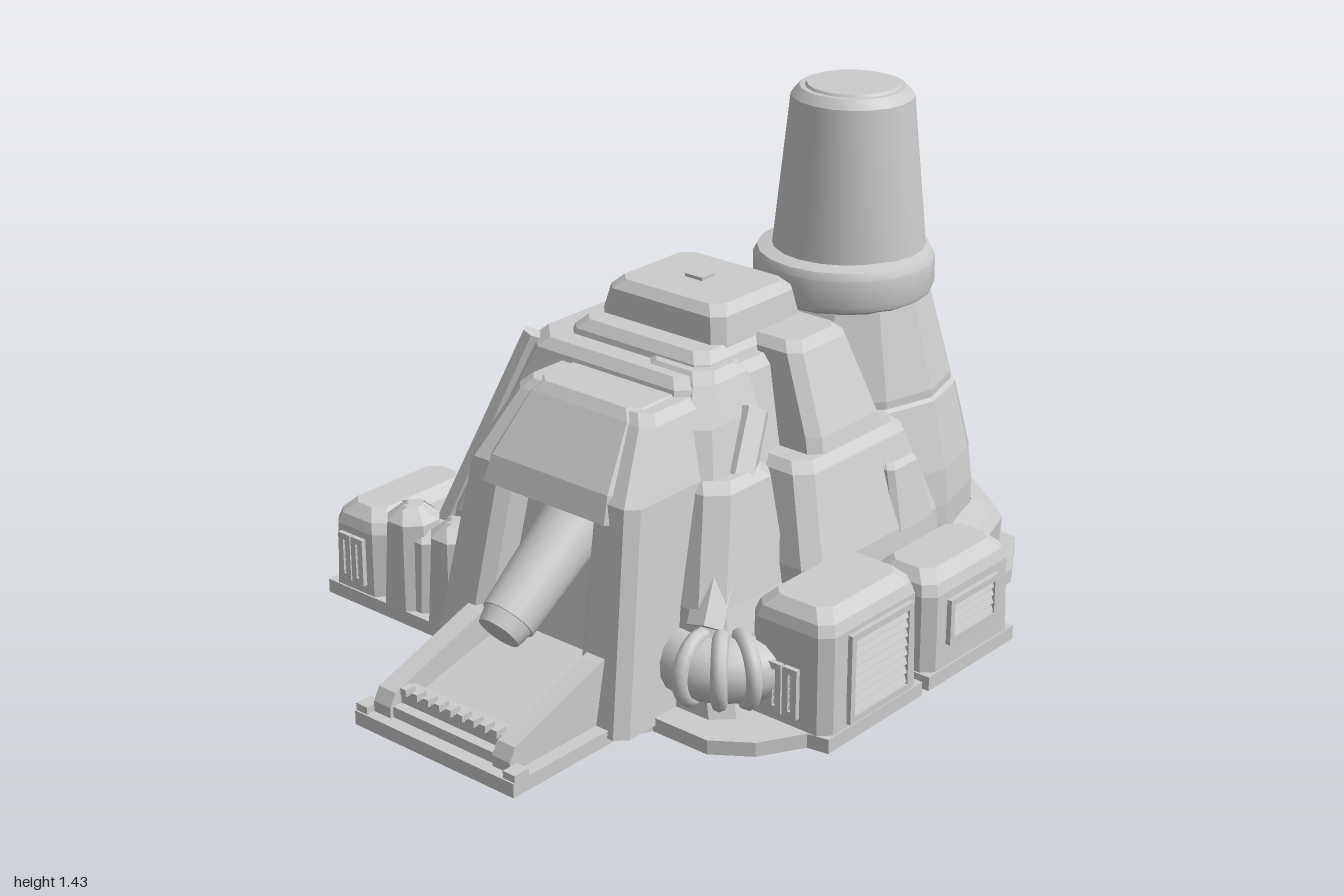
import * as THREE from 'three';
import { toCreasedNormals } from 'three/addons/utils/BufferGeometryUtils.js';

const grey = new THREE.MeshStandardMaterial({ color: 0xcccccc, flatShading: true, side: THREE.DoubleSide });
const smooth = new THREE.MeshStandardMaterial({ color: 0xcccccc, side: THREE.DoubleSide });
const V = (x, y, z) => new THREE.Vector3(x, y, z);

export function createModel() {
  const root = new THREE.Group();

  function add(name, geometry, x = 0, y = 0, z = 0, parent = root, material = grey) {
    const mesh = new THREE.Mesh(geometry, material);
    mesh.name = name;
    mesh.position.set(x, y, z);
    parent.add(mesh);
    return mesh;
  }

  // Chamfered block lofted through sections [x0, x1, z0, z1, y], with a bevelled top
  function block(name, sections, c = 0.03, bevel = 0.025) {
    const top = sections[sections.length - 1], [a, b, d, e, y] = top;
    const list = [...sections.slice(0, -1), [a, b, d, e, y - bevel],
      [a + bevel, b - bevel, d + bevel, e - bevel, y]];
    const pos = [], idx = [];
    for (const [x0, x1, z0, z1, h] of list) {
      for (const [x, z] of [[x1, z0 + c], [x1, z1 - c], [x1 - c, z1], [x0 + c, z1],
        [x0, z1 - c], [x0, z0 + c], [x0 + c, z0], [x1 - c, z0]]) pos.push(x, h, z);
    }
    const last = (list.length - 1) * 8;
    for (let r = 0; r < last; r += 8) {
      for (let i = 0; i < 8; i++) {
        const j = (i + 1) % 8;
        idx.push(r + i, r + 8 + i, r + j, r + j, r + 8 + i, r + 8 + j);
      }
    }
    for (let i = 1; i < 7; i++) idx.push(last, last + i + 1, last + i, 0, i, i + 1);
    const g = new THREE.BufferGeometry();
    g.setAttribute('position', new THREE.Float32BufferAttribute(pos, 3));
    g.setIndex(idx);
    g.computeVertexNormals();
    return add(name, g);
  }

  function extrude(name, pts, depth, x = 0, y = 0, z = 0) {
    const shape = new THREE.Shape(pts.map(p => new THREE.Vector2(...p)));
    return add(name, new THREE.ExtrudeGeometry(shape, { depth, bevelEnabled: false }), x, y, z);
  }

  // Framed panel with slats, facing +z before it is turned
  function grille(name, w, h, n, x, y, z, turn = 0, tilt = 0) {
    const g = new THREE.Group();
    g.name = name;
    g.position.set(x, y, z);
    g.rotation.set(tilt, turn, 0, 'YXZ');
    root.add(g);
    const f = 0.018, rect = (P, a, b) => {
      const p = new P();
      p.moveTo(-a, -b); p.lineTo(a, -b); p.lineTo(a, b); p.lineTo(-a, b); p.closePath();
      return p;
    };
    const frame = rect(THREE.Shape, w / 2, h / 2);
    frame.holes.push(rect(THREE.Path, w / 2 - f, h / 2 - f));
    add('grilleFrame', new THREE.ExtrudeGeometry(frame, { depth: 0.014, bevelEnabled: false }), 0, 0, 0, g);
    const step = (h - 2 * f) / n;
    for (let i = 0; i < n; i++) {
      const s = add('slat', new THREE.BoxGeometry(w - 2 * f, step * 0.75, 0.008), 0, -h / 2 + f + step * (i + 0.5), 0.004, g);
      s.rotation.x = -0.4;
    }
  }

  function rod(name, a, b, ra, rb, sides = 16) {
    const d = b.clone().sub(a), m = a.clone().add(b).multiplyScalar(0.5);
    const g = toCreasedNormals(new THREE.CylinderGeometry(rb, ra, d.length(), sides), 0.7);
    const mesh = add(name, g, m.x, m.y, m.z, root, smooth);
    mesh.quaternion.setFromUnitVectors(V(0, 1, 0), d.normalize());
  }

  function lathe(name, pts, sides, x, z, material = grey, crease = 0.5) {
    let g = new THREE.LatheGeometry(pts.map(p => new THREE.Vector2(...p)), sides);
    if (material === smooth) g = toCreasedNormals(g, crease);
    return add(name, g, x, 0, z, root, material);
  }

  // Bent pipe with ribs
  function ribbedPipe(name, pts, r, ribs) {
    const curve = new THREE.CatmullRomCurve3(pts);
    add(name, new THREE.TubeGeometry(curve, 16, r, 14), 0, 0, 0, root, smooth);
    for (const t of ribs) {
      const p = curve.getPointAt(t);
      const rib = add(name + 'Rib', new THREE.TorusGeometry(r, 0.022, 8, 18), p.x, p.y, p.z, root, smooth);
      rib.quaternion.setFromUnitVectors(V(0, 0, 1), curve.getTangentAt(t));
    }
  }

  // Foundation plate
  const plate = extrude('foundation', [[-1, -0.2], [-0.62, -0.18], [-0.53, -0.28], [-0.53, -0.81], [-0.11, -0.81],
    [-0.11, -0.69], [0.1, -0.69], [0.1, -0.81], [0.49, -0.81], [0.49, -0.48], [0.79, -0.41], [0.83, -0.3], [0.82, -0.19],
    [0.93, -0.15], [1, 0.02], [0.96, 0.5], [0.78, 0.61], [0.49, 0.64], [0.49, 0.81], [0.1, 0.81], [0.1, 0.76], [0.07, 0.76],
    [0.07, 0.81], [-0.33, 0.81], [-0.34, 0.75], [-0.46, 0.68], [-0.53, 0.58], [-0.53, 0.4], [-0.62, 0.36], [-1, 0.36]], 0.04, 0, 0.04);
  plate.rotation.x = Math.PI / 2;

  // Tower
  const tx = 0.555, tz = 0.165;
  lathe('towerFooting', [[0.42, 0.03], [0.43, 0.17], [0.41, 0.205], [0.34, 0.225]], 10, 0.56, 0.2);
  lathe('towerLowerShell', [[0.37, 0.2], [0.37, 0.3], [0.358, 0.4], [0.312, 0.59], [0.3, 0.598]], 12, tx, tz);
  lathe('towerMiddleShell', [[0.3, 0.598], [0.3, 0.62], [0.232, 0.87]], 12, tx, tz);
  lathe('towerCollar', [[0.22, 0.85], [0.245, 0.865], [0.25, 0.88], [0.25, 0.955], [0.24, 0.975], [0.2, 0.985]], 20, tx - 0.012, tz, smooth);
  lathe('towerChimney', [[0.212, 0.97], [0.168, 1.4], [0.145, 1.425], [0.13, 1.425], [0.125, 1.432], [0, 1.432]], 20, tx + 0.01, tz, smooth);
  for (let i = 0; i < 6; i++) {
    const a = (i + 0.5) * Math.PI / 3, s = Math.sin(a), c = Math.cos(a);
    rod('towerSeam', V(tx + 0.352 * s, 0.4, tz + 0.352 * c), V(tx + 0.306 * s, 0.59, tz + 0.306 * c), 0.008, 0.008, 6);
  }

  // Central body and roof
  block('mainBody', [[-0.43, 0.5, -0.53, 0.48, 0.02], [-0.39, 0.47, -0.5, 0.44, 0.32], [-0.25, 0.34, -0.32, 0.3, 0.83]], 0.07);
  block('roofBase', [[-0.18, 0.31, -0.24, 0.27, 0.78], [-0.16, 0.3, -0.22, 0.25, 0.87]], 0.03);
  block('roofBlock', [[-0.08, 0.3, -0.21, 0.24, 0.82], [-0.06, 0.275, -0.18, 0.22, 0.965]], 0.03);
  add('roofHatch', new THREE.BoxGeometry(0.05, 0.014, 0.06), 0.11, 0.967, 0.01);

  // Rear wall: corner ribs, panel and vent housing
  for (const [x0, x1] of [[-0.36, -0.21], [0.42, 0.29]]) {
    rod('rearRib', V(x0, 0.25, -0.5), V(x1, 0.82, -0.3), 0.035, 0.03, 6);
  }
  block('rearUpperPanel', [[-0.16, 0.22, -0.45, -0.3, 0.6], [-0.13, 0.19, -0.395, -0.27, 0.76]], 0.015, 0.015);
  block('rearVentHousing', [[-0.2, 0.26, -0.555, -0.4, 0.26], [-0.19, 0.25, -0.5, -0.38, 0.59]], 0.03);
  grille('rearVent', 0.34, 0.22, 6, 0.03, 0.42, -0.53, Math.PI, -0.16);
  block('rearLedge', [[-0.51, 0.48, -0.62, -0.42, 0.03], [-0.5, 0.46, -0.6, -0.42, 0.27]], 0.04);
  for (const [z0, z1] of [[-0.62, -0.46], [-0.45, -0.29]]) {
    block('rearSideBuffer', [[-0.53, -0.38, z0, z1, 0.03], [-0.52, -0.38, z0 + 0.01, z1 - 0.01, 0.33]], 0.04, 0.04);
  }
  block('rearSideShoulder', [[0.34, 0.5, -0.48, -0.2, 0.03], [0.3, 0.44, -0.4, -0.1, 0.6]], 0.03);

  // Cabinets standing against front and rear
  function cabinet(name, x0, x1, z0, z1, h) {
    block(name, [[x0, x1, z0, z1, 0.02], [x0 + 0.005, x1 - 0.005, z0 + 0.005, z1 - 0.005, h - 0.06], [x0 + 0.015, x1 - 0.015, z0 + 0.015, z1 - 0.015, h]], 0.03, 0.03);
    const zc = (z0 + z1) / 2;
    for (const [x, turn] of [[x0 - 0.002, -Math.PI / 2], [x1 + 0.002, Math.PI / 2]]) {
      for (const dz of [-0.025, 0.025]) grille(name + 'SideVent', 0.045, 0.14, 5, x, 0.14, zc + dz, turn);
    }
  }
  cabinet('frontLargeCabinet', -0.335, 0.07, 0.54, 0.805, 0.37);
  cabinet('frontSmallCabinet', 0.105, 0.49, 0.58, 0.805, 0.315);
  cabinet('rearCabinetRight', -0.525, -0.11, -0.805, -0.6, 0.285);
  cabinet('rearCabinetLeft', 0.1, 0.49, -0.805, -0.6, 0.285);
  grille('frontLargeVent', 0.26, 0.25, 8, -0.12, 0.175, 0.803);
  grille('frontSmallVent', 0.22, 0.13, 4, 0.29, 0.17, 0.803);
  for (const x of [-0.32, 0.295]) grille('rearCabinetVent', 0.24, 0.12, 4, x, 0.14, -0.803, Math.PI);

  // Stepped front buttress
  block('frontLowerBody', [[-0.14, 0.47, 0.2, 0.62, 0.03], [-0.12, 0.46, 0.2, 0.59, 0.35], [-0.06, 0.41, 0.2, 0.51, 0.6]], 0.04);
  block('frontUpperBox', [[0.02, 0.34, 0.15, 0.49, 0.57], [0.03, 0.33, 0.15, 0.47, 0.64], [0.06, 0.3, 0.15, 0.38, 0.87]], 0.03);
  block('frontPanel', [[0.24, 0.41, 0.45, 0.595, 0.34], [0.25, 0.38, 0.45, 0.56, 0.52]], 0.015, 0.015);

  // Slanting front shoulder beside the buttress
  block('frontShoulderLow', [[-0.45, -0.05, 0.15, 0.57, 0.03], [-0.4, -0.05, 0.15, 0.49, 0.3], [-0.31, -0.05, 0.15, 0.43, 0.6]], 0.05);
  block('frontShoulderHigh', [[-0.33, 0.0, 0.05, 0.4, 0.5], [-0.27, 0.0, 0.05, 0.34, 0.72], [-0.21, 0.0, 0.05, 0.3, 0.84]], 0.04);
  rod('frontShoulderRib', V(-0.38, 0.25, 0.45), V(-0.06, 0.72, 0.33), 0.055, 0.05, 6);

  // Side bay: two sloping cheeks, a lintel and a recessed wall
  block('bayRearCheek', [[-0.66, -0.15, -0.29, -0.12, 0.02], [-0.545, -0.15, -0.23, -0.08, 0.6], [-0.42, -0.15, -0.18, -0.02, 0.79]], 0.03);
  block('bayFrontCheek', [[-0.66, -0.15, 0.23, 0.41, 0.02], [-0.545, -0.15, 0.2, 0.35, 0.6], [-0.42, -0.15, 0.13, 0.29, 0.79]], 0.03);
  block('bayLintel', [[-0.565, -0.15, -0.18, 0.3, 0.55], [-0.54, -0.15, -0.17, 0.29, 0.62], [-0.42, -0.15, -0.14, 0.25, 0.795]], 0.03);
  block('bayRecess', [[-0.56, -0.15, -0.15, 0.28, 0.02], [-0.44, -0.15, -0.12, 0.25, 0.62]], 0.01);

  // Chute leaving the bay
  rod('chute', V(-0.44, 0.49, 0.08), V(-0.72, 0.285, 0.08), 0.09, 0.075, 18);
  rod('chuteLip', V(-0.7, 0.3, 0.08), V(-0.755, 0.26, 0.08), 0.075, 0.06, 18);

  // Ramp tray
  for (const z of [-0.16, 0.26]) {
    extrude('rampRail', [[-0.97, 0.03], [-0.97, 0.07], [-0.95, 0.105], [-0.64, 0.21], [-0.5, 0.25], [-0.5, 0.03]], 0.06, 0, 0, z);
  }
  extrude('rampFloor', [[-0.96, 0.03], [-0.96, 0.07], [-0.88, 0.07], [-0.5, 0.16], [-0.5, 0.03]], 0.38, 0, 0, -0.12);
  add('rampLip', new THREE.BoxGeometry(0.05, 0.06, 0.4), -0.905, 0.075, 0.08);
  for (let i = 0; i < 9; i++) {
    add('rampTooth', new THREE.BoxGeometry(0.035, 0.02, 0.02), -0.925, 0.11, -0.08 + i * 0.04);
  }
  for (const z of [-0.18, 0.34]) add('rampFoot', new THREE.BoxGeometry(0.05, 0.06, 0.04), -0.97, 0.03, z);

  // Ribbed pipes at two corners
  ribbedPipe('rearPipe', [V(0.8, 0.15, -0.21), V(0.74, 0.15, -0.28), V(0.62, 0.15, -0.31), V(0.46, 0.15, -0.3)], 0.09, [0.3, 0.48, 0.66]);
  rod('rearPipeCap', V(0.74, 0.15, -0.28), V(0.82, 0.15, -0.235), 0.1, 0.075, 16);
  ribbedPipe('frontPipe', [V(-0.4, 0.16, 0.36), V(-0.42, 0.16, 0.46), V(-0.37, 0.16, 0.54), V(-0.25, 0.16, 0.6)], 0.085, [0.3, 0.48, 0.66]);

  return root;
}
